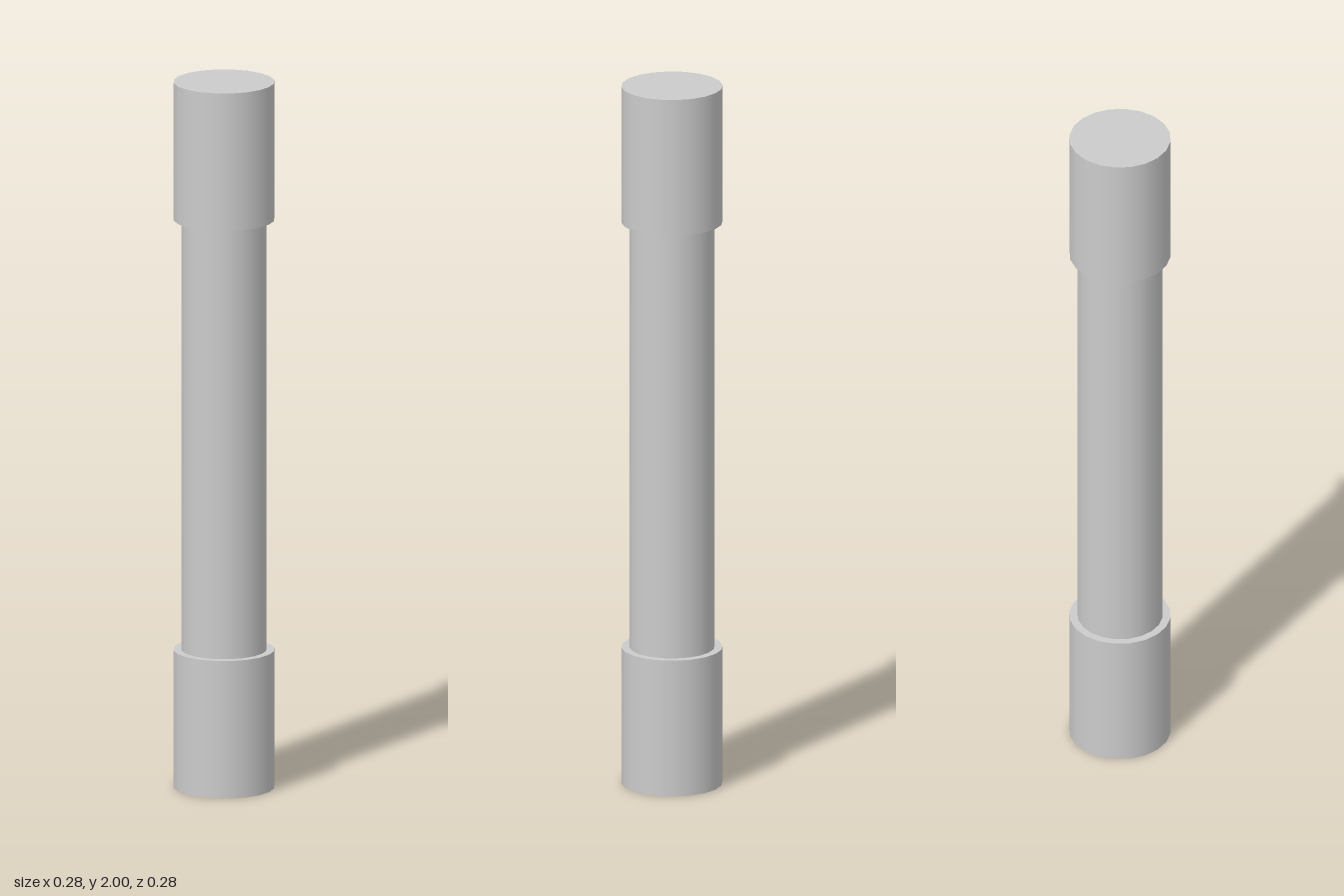
import * as THREE from 'three';

const SIDES = 20;
const CAP_RADIUS = 0.14, CAP_HEIGHT = 0.39;
const TUBE_RADIUS = 0.118, HEIGHT = 2;

export function createModel() {
  const group = new THREE.Group();
  const material = new THREE.MeshStandardMaterial({ color: 0xcccccc });

  const addCylinder = (name, radius, height, y) => {
    const mesh = new THREE.Mesh(new THREE.CylinderGeometry(radius, radius, height, SIDES), material);
    mesh.name = name;
    mesh.position.y = y;
    group.add(mesh);
  };

  // long central body, its ends seated slightly inside the caps
  addCylinder('tube', TUBE_RADIUS, HEIGHT - 2 * CAP_HEIGHT + 0.04, HEIGHT / 2);

  // wider end caps
  addCylinder('bottomCap', CAP_RADIUS, CAP_HEIGHT, CAP_HEIGHT / 2);
  addCylinder('topCap', CAP_RADIUS, CAP_HEIGHT, HEIGHT - CAP_HEIGHT / 2);

  return group;
}
